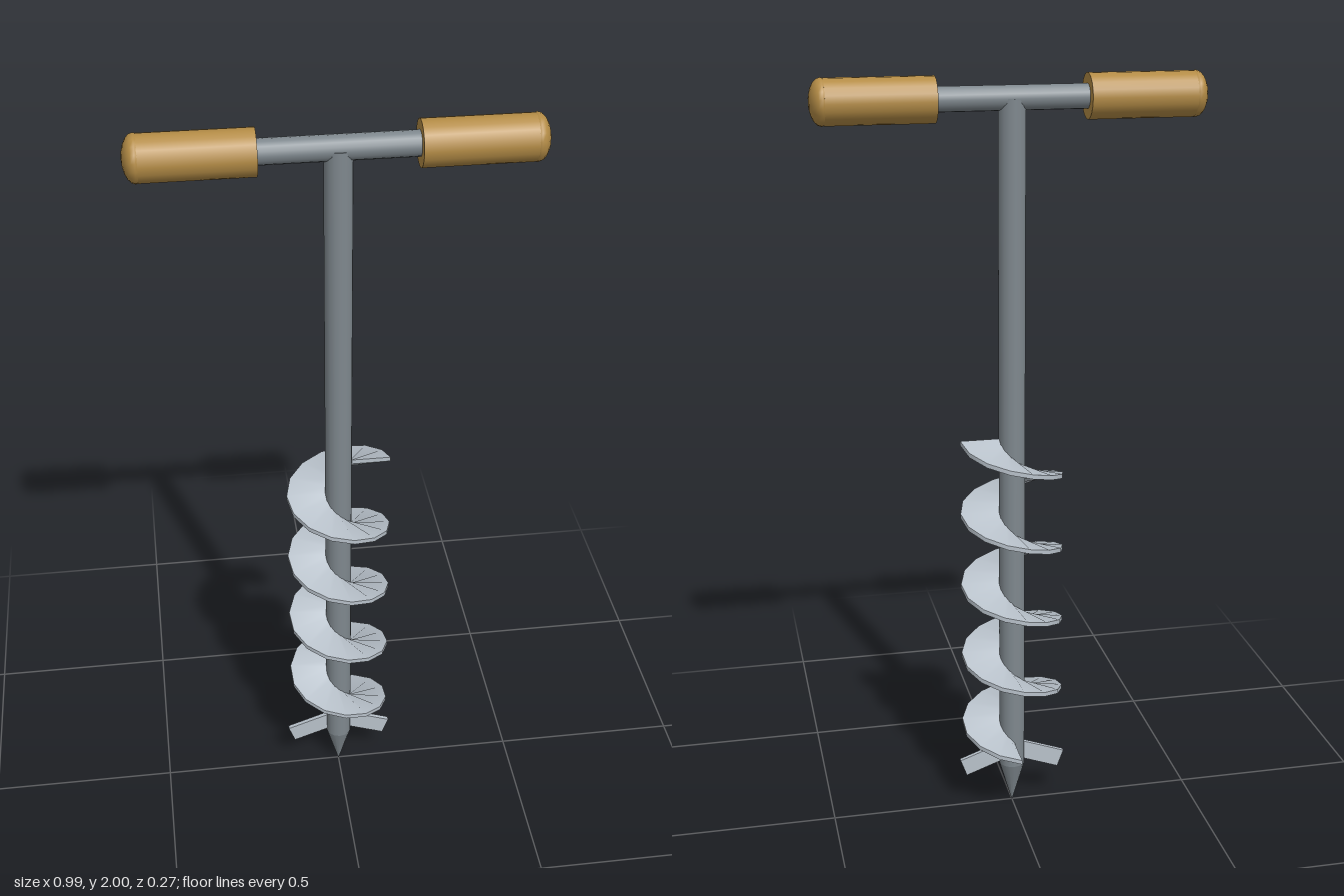
import * as THREE from 'three';

const mat = (name, color) => {
  const m = new THREE.MeshStandardMaterial({ color });
  m.name = name;
  return m;
};

// Helical strip: each side is its own grid, so edges stay crisp and faces smooth
function makeFlighting({ inner, outer, y0, pitch, turns, steps, thickness }) {
  const half = thickness / 2;
  const corners = [[inner, half], [outer, half], [outer, -half], [inner, -half]];
  const pos = [], index = [];
  const point = (i, [r, dy]) => {
    const turn = (i / steps) * turns;
    const a = turn * Math.PI * 2 - Math.PI / 2;
    return [r * Math.cos(a), y0 + turn * pitch + dy, r * Math.sin(a)];
  };
  for (let side = 0; side < 4; side++) {
    const a = corners[side], b = corners[(side + 1) % 4];
    const base = pos.length / 3;
    for (let i = 0; i <= steps; i++) {
      pos.push(...point(i, a), ...point(i, b));
      if (i === steps) continue;
      const k = base + i * 2;
      index.push(k, k + 2, k + 1, k + 1, k + 2, k + 3);
    }
  }
  // End faces
  for (const [i, flip] of [[0, false], [steps, true]]) {
    const k = pos.length / 3;
    corners.forEach((c) => pos.push(...point(i, c)));
    index.push(...(flip ? [k, k + 2, k + 1, k, k + 3, k + 2] : [k, k + 1, k + 2, k, k + 2, k + 3]));
  }
  // Angle runs from +x to +z, so the grid order is reversed to face outward
  for (let i = 0; i < index.length; i += 3) [index[i + 1], index[i + 2]] = [index[i + 2], index[i + 1]];
  const g = new THREE.BufferGeometry();
  g.setAttribute('position', new THREE.Float32BufferAttribute(pos, 3));
  g.setIndex(index);
  // Make sure the top strip faces up
  g.computeVertexNormals();
  if (g.attributes.normal.getY(2) < 0) {
    for (let i = 0; i < index.length; i += 3) [index[i + 1], index[i + 2]] = [index[i + 2], index[i + 1]];
    g.setIndex(index);
    g.computeVertexNormals();
  }
  return g;
}

export function createModel() {
  const group = new THREE.Group();
  const steel = mat('steel grey', 0x7f888e);
  const bright = mat('bright steel', 0xb9c2cb);
  const wood = mat('wood', 0xb48c46);
  const add = (name, geometry, material, x = 0, y = 0, z = 0) => {
    const m = new THREE.Mesh(geometry, material);
    m.name = name;
    m.position.set(x, y, z);
    group.add(m);
    return m;
  };

  // Shaft and pointed tip
  const barY = 1.943;
  add('shaft', new THREE.CylinderGeometry(0.035, 0.035, barY - 0.12, 16), steel, 0, (barY + 0.12) / 2);
  add('tip', new THREE.CylinderGeometry(0.035, 0.001, 0.12, 16), steel, 0, 0.06);

  // Screw blade
  const flighting = makeFlighting({
    inner: 0.03, outer: 0.137, y0: 0.19, pitch: 0.206, turns: 4.25, steps: 60, thickness: 0.012,
  });
  flighting.name = 'flighting';
  add('screwBlade', flighting, bright);

  // Cross bar
  add('crossBar', new THREE.CylinderGeometry(0.031, 0.031, 0.8, 16), steel, 0, barY).rotation.z = Math.PI / 2;

  for (const s of [1, -1]) {
    const side = s > 0 ? 'left' : 'right';
    // Grip with a domed end cap
    add(side + 'Grip', new THREE.CylinderGeometry(0.057, 0.057, 0.27, 18), wood, s * 0.325, barY)
      .rotation.z = Math.PI / 2;
    const cap = add(side + 'GripCap', new THREE.SphereGeometry(0.058, 18, 10), wood, s * 0.465, barY);
    cap.rotation.z = Math.PI / 2;
    cap.scale.y = 0.52;
    // Cutting tooth, sloping down and outward
    add(side + 'Tooth', new THREE.BoxGeometry(0.125, 0.05, 0.012), bright, s * 0.079, 0.138)
      .rotation.z = -s * 0.35;
  }
  return group;
}
